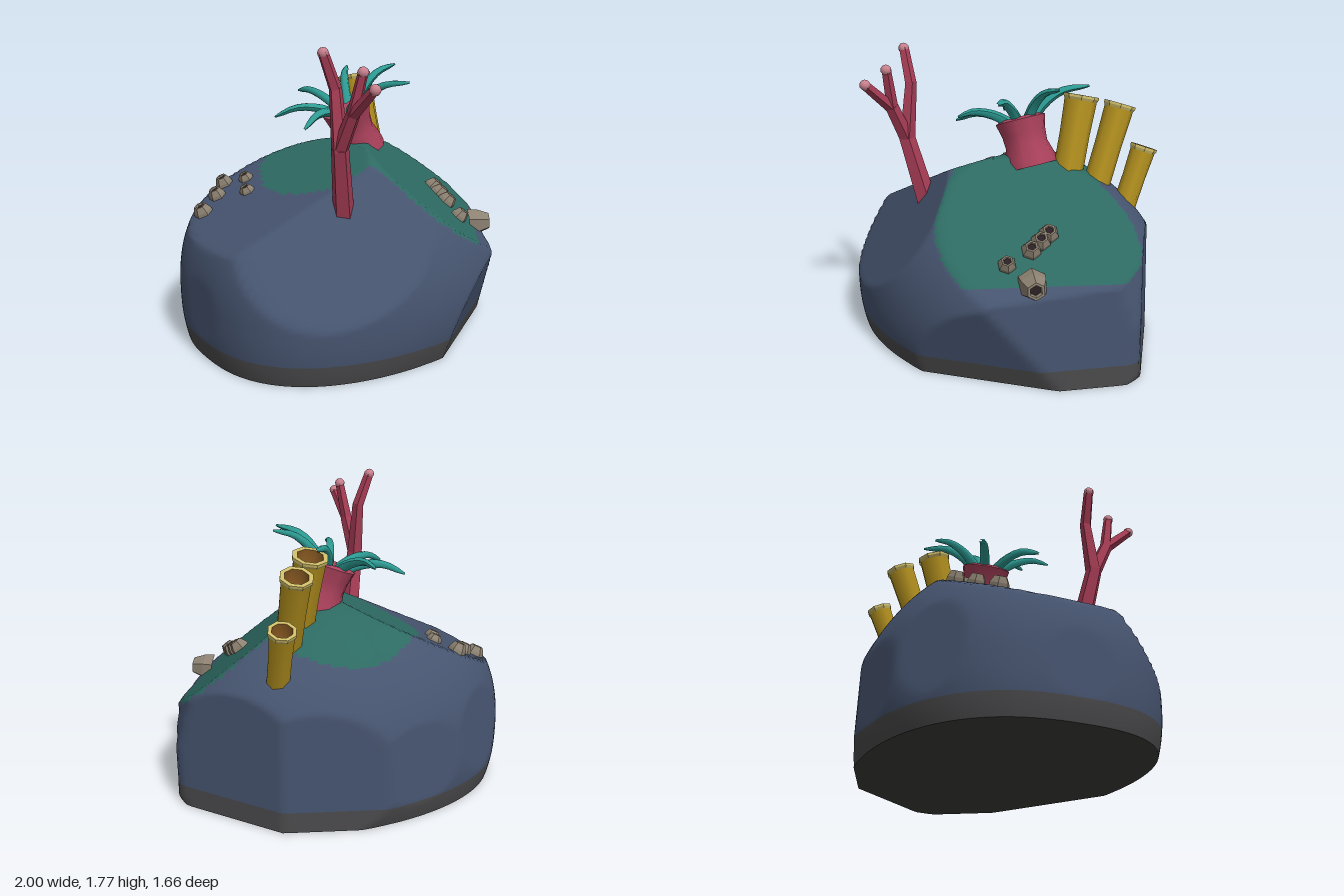
import * as THREE from 'three';

const V = (x, y, z) => new THREE.Vector3(x, y, z);
const UP = V(0, 1, 0);
const mat = (color, flatShading = false, side = THREE.FrontSide) =>
  new THREE.MeshStandardMaterial({ color, flatShading, side });

function add(parent, name, geometry, material) {
  const mesh = new THREE.Mesh(geometry, material);
  mesh.name = name;
  parent.add(mesh);
  return mesh;
}

// Boulder: a rounded body chipped by planes [normal x, y, z, distance]
const MID = 0.3, RISE = 0.84, TOP = 1.122;
const CUTS = [
  [-0.436, 0.9, 0, 1.01],        // left slope
  [0.5, 0.78, 0.375, 0.95],      // right front slope
  [-0.35, 0.56, 0.72, 0.9],      // front left face
  [0.78, 0.03, -0.62, 0.84],     // right back wall
  [0.346, 0.03, -0.94, 0.79],    // back right wall
  [0.85, 0.03, 0.52, 0.845],     // right front wall
  [0.545, -0.32, 0.838, 0.71],   // right front undercut
  [0.98, 0.2, 0, 1.05],          // right shoulder
  [-0.1, 0.05, -0.99, 0.83],     // back face
  [-0.51, 0.1, -0.857, 0.935],   // back left face
  [-1, 0, 0, 1], [1, 0, 0, 1],
].map(([x, y, z, d]) => ({ n: V(x, y, z), d }));

// Body shape in direction (x, z): radii and a squarer curve on the left
function body(x, z) {
  const p = 2 + 0.45 * Math.max(0, -x / (Math.hypot(x, z) || 1));
  const rx = x > 0 ? 1.06 : 1.01, rz = z > 0 ? 0.83 : 0.845;
  return { p, reach: (Math.abs(x) / rx) ** p + (Math.abs(z) / rz) ** p };
}

// Horizontal radius of the rock at height y and angle a
function rockRadius(y, a) {
  const dir = V(Math.cos(a), 0, Math.sin(a));
  const { p, reach } = body(dir.x, dir.z);
  let k = (Math.max(0, 1 - Math.abs((y - MID) / RISE) ** p) / reach) ** (1 / p);
  for (const { n, d } of CUTS) {
    const slope = n.dot(dir);
    if (slope > 1e-5) k = Math.min(k, (d - n.y * y) / slope);
  }
  return Math.max(k, 0.001);
}

// Height and normal of the upper rock surface
function rockHeight(x, z) {
  const { p, reach } = body(x, z);
  let y = MID + RISE * Math.max(0, 1 - reach) ** (1 / p);
  for (const { n, d } of CUTS) if (n.y > 0.3) y = Math.min(y, (d - n.x * x - n.z * z) / n.y);
  return y;
}
function rockNormal(x, z) {
  const e = 0.03;
  return V(rockHeight(x - e, z) - rockHeight(x + e, z), 2 * e,
    rockHeight(x, z - e) - rockHeight(x, z + e)).normalize();
}

function makeRock() {
  const rock = new THREE.Group();
  rock.name = 'rock';
  const rows = 72, cols = 160, pos = [];
  for (let i = 0; i <= rows; i++) {
    const y = TOP * Math.sin((i / rows) * Math.PI / 2);
    for (let j = 0; j < cols; j++) {
      const a = (j / cols) * Math.PI * 2, r = rockRadius(y, a);
      pos.push(V(Math.cos(a) * r, y, Math.sin(a) * r));
    }
  }
  pos.push(V(0.1, TOP + 0.005, 0));

  // Faces sorted by zone: mossy crown, bare stone, dark foot
  const zones = { mossyCrown: [], bareStone: [], darkFoot: [] };
  const zoneAt = (c) => {
    const onSlope = CUTS[1].n.dot(c) > 0.935 && c.z > -0.25 && c.y > 0.6;
    const onTop = ((c.x - 0.02) / 0.5) ** 2 + ((c.z + 0.08) / 0.52) ** 2 < 1 &&
      c.y > 0.8 && CUTS[2].n.dot(c) < 0.885;
    return onSlope || onTop ? 'mossyCrown' : c.y < 0.11 ? 'darkFoot' : 'bareStone';
  };
  for (let j = 0; j < cols; j++) {
    const k = (j + 1) % cols;
    for (let i = 0; i < rows; i++) {
      const a = i * cols + j, b = i * cols + k, c = a + cols, d = b + cols;
      const zone = zoneAt(pos[a].clone().lerp(pos[d], 0.5));
      zones[zone].push(a, c, b, b, c, d);
    }
    zones.mossyCrown.push(rows * cols + j, pos.length - 1, rows * cols + k);
  }
  const shell = new THREE.BufferGeometry().setFromPoints(pos);
  shell.setIndex(Object.values(zones).flat());
  shell.computeVertexNormals();
  const colors = { mossyCrown: 0x2d6a62, bareStone: 0x46546f, darkFoot: 0x4a4a4c };
  for (const name in zones) {
    const part = new THREE.BufferGeometry();
    part.setAttribute('position', shell.attributes.position);
    part.setAttribute('normal', shell.attributes.normal);
    part.setIndex(zones[name]);
    add(rock, name, part, mat(colors[name]));
  }

  // Flat underside
  const outline = pos.slice(0, cols).map(p => new THREE.Vector2(p.x, p.z));
  add(rock, 'underside', new THREE.ShapeGeometry(new THREE.Shape(outline)), mat(0x3c3b38)).rotation.x = Math.PI / 2;
  return rock;
}

// Tube along points whose radius follows a rule of 0..1
function taperedTube(points, radiusAt, segments, sides) {
  const curve = new THREE.CatmullRomCurve3(points);
  const geo = new THREE.TubeGeometry(curve, segments, 1, sides);
  const pos = geo.attributes.position;
  for (let i = 0; i < pos.count; i++) {
    const t = Math.floor(i / (sides + 1)) / segments;
    const c = curve.getPointAt(t);
    const p = V().fromBufferAttribute(pos, i).sub(c).multiplyScalar(radiusAt(t)).add(c);
    pos.setXYZ(i, p.x, p.y, p.z);
  }
  geo.computeVertexNormals();
  return geo;
}

function lathe(profile, sides) {
  return new THREE.LatheGeometry(profile.map(([r, y]) => new THREE.Vector2(r, y)), sides);
}

// Anemone: waisted column with a ring of curved tentacles
function makeAnemone() {
  const g = new THREE.Group();
  g.name = 'anemone';
  g.position.set(0.13, 1.06, -0.06);
  g.rotation.z = 0.37;
  add(g, 'anemoneColumn', lathe([[0.16, 0], [0.15, 0.05], [0.125, 0.13], [0.13, 0.2], [0.15, 0.28]], 10),
    mat(0xa8405a));
  add(g, 'anemoneDisc', lathe([[0.15, 0.28], [0.12, 0.295], [0, 0.285]], 10), mat(0xb04862, false, THREE.DoubleSide));
  for (let i = 0; i < 7; i++) {
    const a = 0.05 + (i / 7) * Math.PI * 2;
    const len = 0.41 + 0.03 * Math.sin(i * 2.3);
    const at = (r, y) => V(Math.cos(a) * r, y, Math.sin(a) * r);
    const path = [at(0.06, 0.26), at(0.16, 0.34), at(0.28, 0.385), at(len, 0.375)];
    add(g, 'tentacle', taperedTube(path, t => 0.006 + 0.027 * (1 - t) ** 0.5, 8, 6), mat(0x2d9c94));
  }
  return g;
}

// Tube sponge: flared hollow pipe with a pale lip
function makeSponge(base, top, r) {
  const g = new THREE.Group();
  g.name = 'tubeSponge';
  const axis = top.clone().sub(base);
  const h = axis.length();
  g.position.copy(base);
  g.quaternion.setFromUnitVectors(UP, axis.normalize());
  add(g, 'spongeWall', lathe([[r * 0.88, -0.03], [r * 0.88, h * 0.5], [r * 0.95, h - 0.03]], 8), mat(0xb5921f));
  add(g, 'spongeLip', lathe([[r * 0.95, h - 0.03], [r * 1.04, h - 0.015], [r * 1.04, h], [r * 0.76, h]], 8),
    mat(0xcdbb68, true));
  add(g, 'spongeInside', lathe([[r * 0.76, h], [r * 0.66, h - 0.12], [0, h - 0.14]], 8),
    mat(0x8a5a22, false, THREE.DoubleSide));
  return g;
}

// Branching coral: five-sided limbs with pale knobs
function makeCoral() {
  const g = new THREE.Group();
  g.name = 'branchCoral';
  const limb = (a, b, r0, r1) => {
    const axis = b.clone().sub(a);
    const m = add(g, 'coralLimb', new THREE.CylinderGeometry(r1, r0, axis.length() + r1 * 0.5, 5), mat(0xa63c55, true));
    m.position.copy(a).lerp(b, 0.5);
    m.quaternion.setFromUnitVectors(UP, axis.normalize());
  };
  const fork = V(-0.38, 1.22, 0.47), upper = V(-0.37, 1.42, 0.57), bend = V(-0.38, 1.54, 0.43);
  const tips = [V(-0.45, 1.735, 0.42), V(-0.34, 1.65, 0.62), V(-0.36, 1.58, 0.75)];
  limb(V(-0.31, 0.85, 0.4), fork, 0.062, 0.05);
  limb(fork, bend, 0.05, 0.036);
  limb(bend, tips[0], 0.036, 0.03);
  limb(fork, upper, 0.046, 0.04);
  limb(upper, tips[1], 0.036, 0.028);
  limb(upper, tips[2], 0.036, 0.028);
  for (const p of tips)
    add(g, 'coralTip', new THREE.IcosahedronGeometry(0.031, 1), mat(0xcb8290)).position.copy(p);
  return g;
}

// Barnacle: six-sided cone with a dark opening
function makeBarnacle(x, z, r, h, facing = rockNormal(x, z)) {
  const g = new THREE.Group();
  g.name = 'barnacle';
  g.position.set(x, rockHeight(x, z), z);
  g.quaternion.setFromUnitVectors(UP, facing);
  add(g, 'barnacleShell', lathe([[r, -0.02], [r * 0.92, h * 0.35], [r * 0.6, h], [r * 0.42, h], [r * 0.34, h * 0.7]], 6),
    mat(0x8d8272, true));
  const hole = add(g, 'barnacleOpening', new THREE.CircleGeometry(r * 0.4, 6), mat(0x2a2024));
  hole.rotation.x = -Math.PI / 2;
  hole.position.y = h * 0.8;
  return g;
}

export function createModel() {
  const model = new THREE.Group();
  model.name = 'reefRock';
  model.add(makeRock(), makeAnemone(), makeCoral());
  model.add(
    makeSponge(V(0.29, 1.03, -0.2), V(0.27, 1.47, -0.32), 0.1),
    makeSponge(V(0.41, 0.96, -0.32), V(0.42, 1.42, -0.49), 0.09),
    makeSponge(V(0.52, 0.83, -0.45), V(0.54, 1.17, -0.58), 0.077));
  const barnacles = [
    [-0.79, -0.35, 0.06, 0.055], [-0.66, -0.42, 0.055, 0.055], [-0.57, -0.5, 0.055, 0.055],
    [-0.48, -0.39, 0.048, 0.04], [-0.55, -0.25, 0.048, 0.04],
    [0.52, 0.17, 0.06, 0.055], [0.52, 0.23, 0.06, 0.055], [0.52, 0.3, 0.06, 0.055],
    [0.49, 0.45, 0.055, 0.055], [0.64, 0.4, 0.085, 0.11, V(0.8, 0.05, 0.5).normalize()],
  ];
  for (const b of barnacles) model.add(makeBarnacle(...b));
  return model;
}
